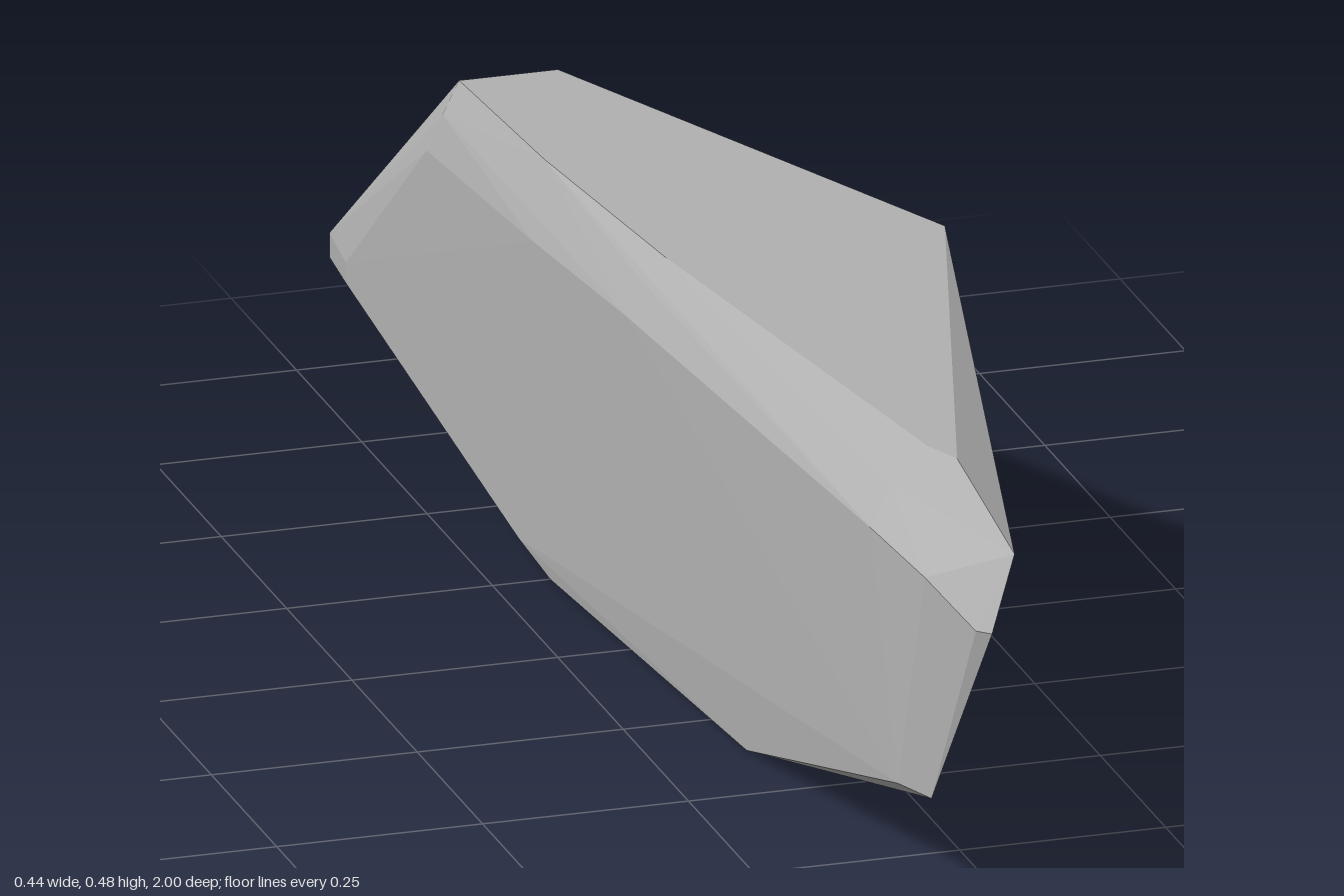
import * as THREE from 'three';
import { ConvexGeometry } from 'three/addons/geometries/ConvexGeometry.js';

// Faceted stone: a convex hull around a few rings of corner points [x, y, z]
const topRim = [
  [0.22, 0.48, 0], [-0.05, 0.48, -0.63], [-0.17, 0.48, -0.63], [-0.155, 0.48, -0.35],
  [-0.12, 0.48, 0], [-0.02, 0.48, 0.69], [0, 0.48, 0.74],
];
const nose = [
  [0, 0.44, 0.96], [-0.04, 0.36, 1], [-0.085, 0.13, 0.91],
  [-0.055, 0.36, 0.985], [-0.09, 0.4, 0.9], [-0.108, 0.41, 0.75], [-0.107, 0.13, 0.85],
];
const base = [
  [0.09, 0, -0.1], [-0.03, 0, 0.36], [-0.135, 0, 0.36], [-0.18, 0, -0.25], [-0.19, 0.02, -0.34],
];
const leftBevel = [
  [-0.19, 0.44, -0.63], [-0.203, 0.39, -0.65], [-0.165, 0.41, 0], [-0.145, 0.45, 0],
  [-0.185, 0.4, -0.3], [-0.075, 0.45, 0.72],
];
const tail = [
  [-0.222, 0.14, -0.9], [-0.222, 0.165, -0.9], [-0.21, 0.135, -1], [-0.21, 0.165, -1],
  [-0.17, 0.135, -1], [-0.17, 0.165, -1], [-0.13, 0.135, -0.97], [-0.13, 0.16, -0.965],
  [-0.09, 0.135, -0.92],
];

export function createModel() {
  const group = new THREE.Group();
  group.name = 'stone';

  const stoneGrey = new THREE.MeshStandardMaterial({ color: 0xb0b0b0 });
  stoneGrey.name = 'stone grey';
  stoneGrey.flatShading = true;

  const points = [...topRim, ...nose, ...base, ...leftBevel, ...tail]
    .map((p) => new THREE.Vector3(...p));
  const body = new THREE.Mesh(new ConvexGeometry(points), stoneGrey);
  body.name = 'stoneBody';
  group.add(body);
  return group;
}
